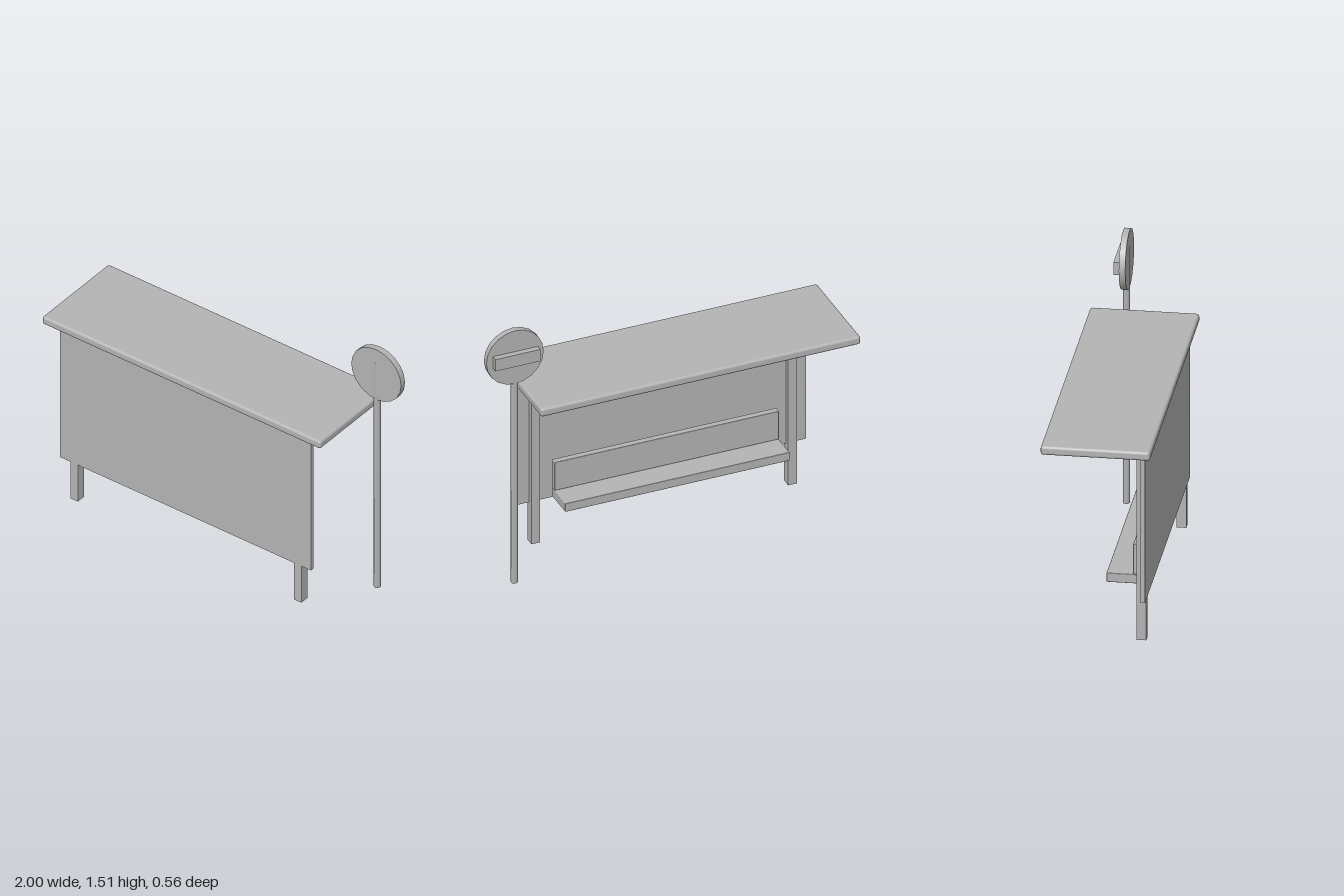
import * as THREE from 'three';
import { RoundedBoxGeometry } from 'three/addons/geometries/RoundedBoxGeometry.js';

const grey = new THREE.MeshStandardMaterial({ color: 0xb4b4b4 });
grey.name = 'plain grey';

// Box given by its [min, max] extents on each axis, with an optional edge radius
function block(name, [x0, x1], [y0, y1], [z0, z1], radius = 0) {
  const size = [x1 - x0, y1 - y0, z1 - z0];
  const geometry = radius
    ? new RoundedBoxGeometry(...size, 2, radius)
    : new THREE.BoxGeometry(...size);
  const mesh = new THREE.Mesh(geometry, grey);
  mesh.name = name;
  mesh.position.set((x0 + x1) / 2, (y0 + y1) / 2, (z0 + z1) / 2);
  return mesh;
}

function createShelter() {
  const shelter = new THREE.Group();
  shelter.name = 'shelter';
  const midX = -0.117;

  // Roof slab and wall panel
  shelter.add(block('roof', [-1, 0.765], [1.058, 1.106], [-0.28, 0.28], 0.014));
  shelter.add(block('wallPanel', [-0.913, 0.679], [0.234, 1.048], [0.22, 0.243]));

  // Pair of support posts
  for (const [side, name] of [[-1, 'rightPost'], [1, 'leftPost']]) {
    const x = midX + side * 0.709;
    shelter.add(block(name, [x - 0.024, x + 0.024], [0, 1.06], [0.19, 0.24]));
  }

  // Bench between the posts
  const bench = new THREE.Group();
  bench.name = 'bench';
  const span = [midX - 0.62, midX + 0.62];
  bench.add(block('seat', span, [0.26, 0.31], [0.02, 0.192], 0.004));
  bench.add(block('backrest', span, [0.31, 0.478], [0.156, 0.192], 0.004));
  shelter.add(bench);
  return shelter;
}

function createStopSign() {
  const sign = new THREE.Group();
  sign.name = 'stopSign';

  // Six-sided pole, one edge just showing through the disc
  const pole = new THREE.Mesh(new THREE.CylinderGeometry(0.019, 0.019, 1.418, 6), grey);
  pole.name = 'signPole';
  pole.position.set(0.838, 0.709, -0.105);
  sign.add(pole);

  // Round sign facing the front
  const disc = new THREE.Mesh(new THREE.CylinderGeometry(0.158, 0.158, 0.033, 20), grey);
  disc.name = 'signDisc';
  disc.rotation.x = Math.PI / 2;
  disc.position.set(0.842, 1.348, -0.106);
  sign.add(disc);

  // Plate on the back of the disc
  sign.add(block('backPlate', [0.715, 0.963], [1.312, 1.382], [-0.154, -0.12]));
  return sign;
}

export function createModel() {
  const model = new THREE.Group();
  model.name = 'busStop';
  model.add(createShelter(), createStopSign());
  return model;
}
